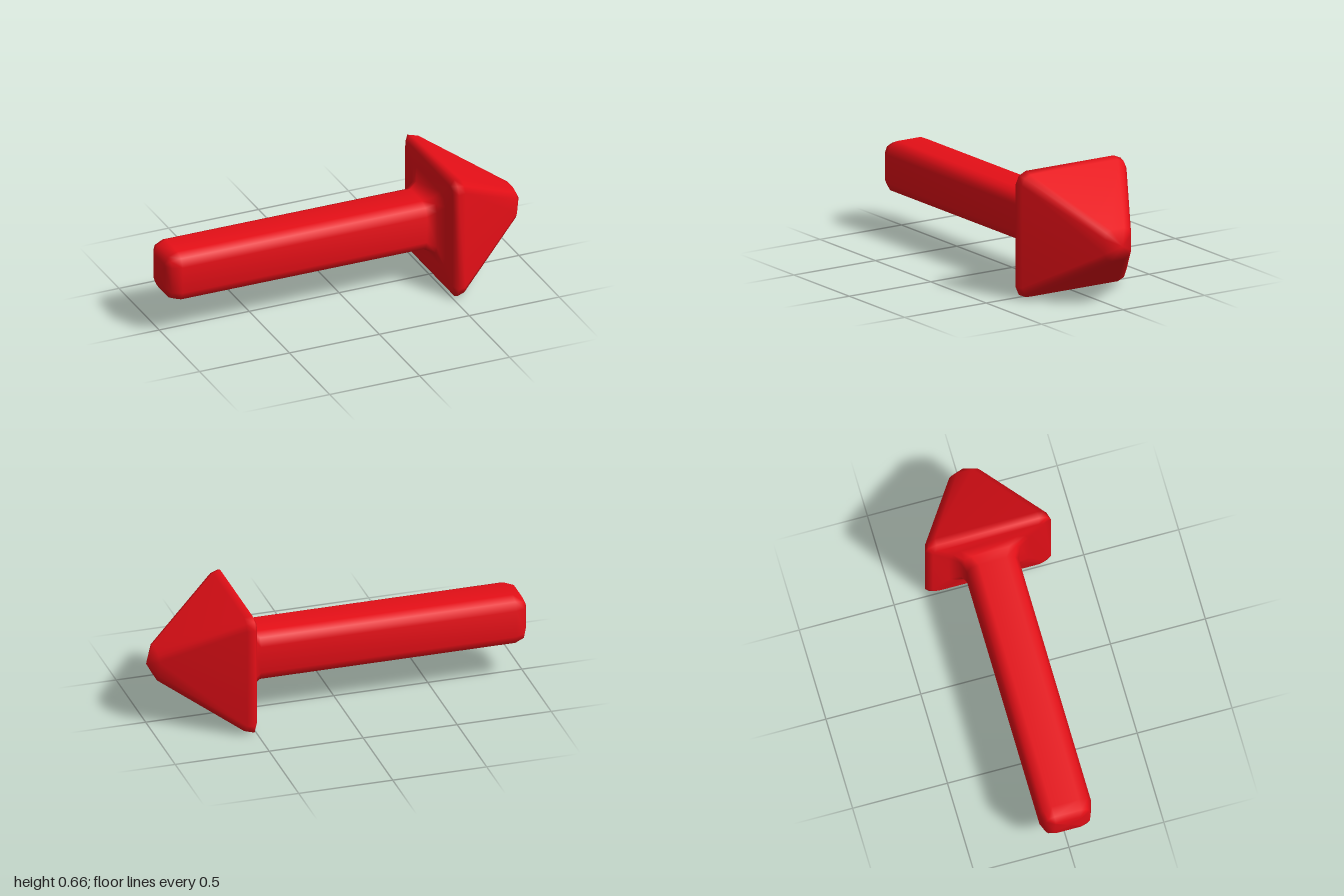
import * as THREE from 'three';

// One square ring with softened corners: half-width h, half-length of the flat side f
function ringPoints(h, f) {
  const m = f + (h - f) * 0.69;
  const corner = [[h, f], [m, m], [f, h]];
  const points = [];
  for (let q = 0; q < 4; q++) {
    for (const [a, b] of corner) {
      points.push([[a, b], [-b, a], [-a, -b], [b, -a]][q]);
    }
  }
  return points;
}

// Skin the rings along x into one smooth closed surface
function loft(rings, tailX, tipX) {
  const positions = [];
  const index = [];
  const n = 12;
  for (const [x, h, f] of rings) {
    for (const [y, z] of ringPoints(h, f)) positions.push(x, y, z);
  }
  const tail = rings.length * n;
  const tip = tail + 1;
  positions.push(tailX, 0, 0, tipX, 0, 0);

  for (let j = 0; j < n; j++) {
    const k = (j + 1) % n;
    for (let i = 0; i < rings.length - 1; i++) {
      const a = i * n + j, b = i * n + k;
      index.push(a, b, b + n, a, b + n, a + n);
    }
    const last = (rings.length - 1) * n;
    index.push(tail, k, j, tip, last + j, last + k);
  }
  const geometry = new THREE.BufferGeometry();
  geometry.setAttribute('position', new THREE.Float32BufferAttribute(positions, 3));
  geometry.setIndex(index);
  geometry.computeVertexNormals();
  return geometry;
}

export function createModel() {
  const group = new THREE.Group();
  group.name = 'arrow';

  const rings = [
    // rounded shaft end
    [-1, 0.072, 0.06],
    [-0.98, 0.116, 0.07],
    [-0.93, 0.136, 0.072],
    // shaft and fillet into the head
    [0.428, 0.136, 0.072],
    [0.475, 0.157, 0.1],
    [0.497, 0.21, 0.15],
    // back of the head and its rounded rim
    [0.5, 0.295, 0.262],
    [0.519, 0.332, 0.27],
    [0.56, 0.32, 0.268],
    // blunt pyramid tip
    [0.952, 0.083, 0.04],
  ];
  const arrow = new THREE.Mesh(
    loft(rings, -1, 0.998),
    new THREE.MeshStandardMaterial({ color: 0xe60f17 }),
  );
  arrow.name = 'shaftAndHead';
  arrow.position.y = 0.332;
  group.add(arrow);
  return group;
}
